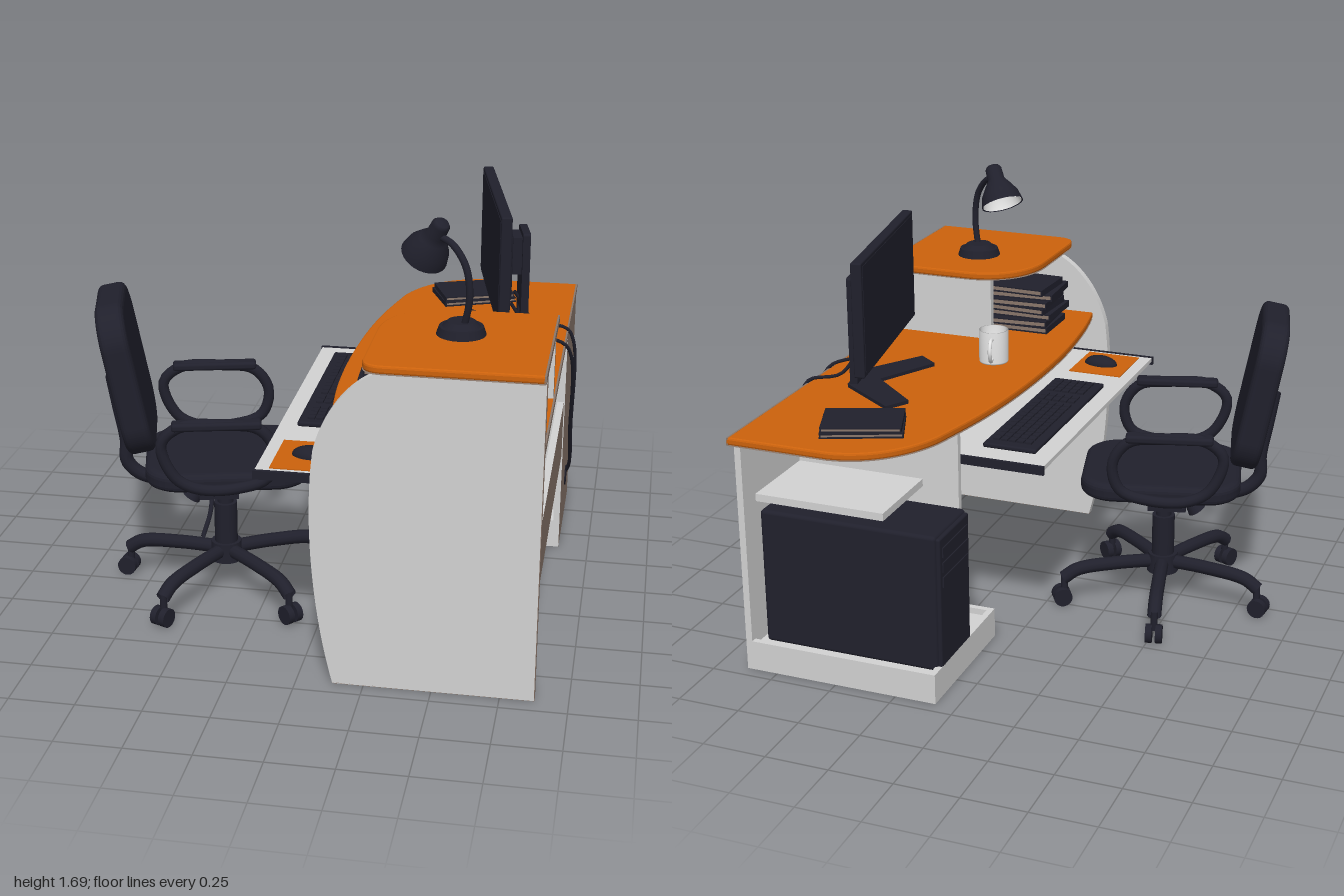
import * as THREE from 'three';
import { RoundedBoxGeometry } from 'three/addons/geometries/RoundedBoxGeometry.js';

const mat = (name, color, double) => {
  const m = new THREE.MeshStandardMaterial({ color });
  m.name = name;
  if (double) m.side = THREE.DoubleSide;
  return m;
};

export function createModel() {
  const root = new THREE.Group();
  root.name = 'computerDesk';
  const orange = mat('orangeLaminate', 0xcc620c);
  const brown = mat('brownBoard', 0x8a776b, true);
  const grey = mat('lightGreyBoard', 0xd2d2d2);
  const dark = mat('darkPlastic', 0x20202c, true);
  const white = mat('whiteCeramic', 0xe6e6e6, true);
  // boards: brown backs and undersides, grey elsewhere
  const board = [brown, grey, grey, brown, grey, grey];
  const V = (x, y, z) => new THREE.Vector3(x, y, z);

  const add = (parent, name, geo, m, x = 0, y = 0, z = 0) => {
    const mesh = new THREE.Mesh(geo, m);
    mesh.name = name;
    mesh.position.set(x, y, z);
    parent.add(mesh);
    return mesh;
  };
  const group = (parent, name, x = 0, y = 0, z = 0, ry = 0) => {
    const g = new THREE.Group();
    g.name = name;
    g.position.set(x, y, z);
    g.rotation.y = ry;
    parent.add(g);
    return g;
  };
  const box = (parent, name, x0, x1, y0, y1, z0, z1, m, r = 0) => add(parent, name,
    r ? new RoundedBoxGeometry(x1 - x0, y1 - y0, z1 - z0, 3, r) : new THREE.BoxGeometry(x1 - x0, y1 - y0, z1 - z0),
    m, (x0 + x1) / 2, (y0 + y1) / 2, (z0 + z1) / 2);
  const tube = (parent, name, pts, r, m = dark, closed = false) => add(parent, name,
    new THREE.TubeGeometry(new THREE.CatmullRomCurve3(pts.map(p => V(...p)), closed), 48, r, 10, closed), m);
  const cyl = (parent, name, r0, r1, h, x, y, z, m = dark) =>
    add(parent, name, new THREE.CylinderGeometry(r0, r1, h, 28), m, x, y, z);
  const rounded = (w, h, r) => {
    const s = new THREE.Shape(), a = w / 2, b = h / 2;
    s.absarc(a - r, b - r, r, 0, Math.PI / 2);
    s.absarc(-a + r, b - r, r, Math.PI / 2, Math.PI);
    s.absarc(-a + r, -b + r, r, Math.PI, Math.PI * 1.5);
    s.absarc(a - r, -b + r, r, Math.PI * 1.5, Math.PI * 2);
    return s;
  };

  // horizontal slab: orange top and rim, brown underside and back edge
  const slab = (name, shape, y, t, z0, z1) => {
    const g = group(root, name), b = 0.008;
    const geo = new THREE.ExtrudeGeometry(shape, { depth: t - 2 * b, bevelThickness: b, bevelSize: b, bevelOffset: -b, bevelSegments: 2, curveSegments: 20 });
    add(g, name + 'Board', geo.rotateX(-Math.PI / 2), orange, 0, y + b, 0);
    add(g, name + 'Underside', new THREE.ShapeGeometry(shape, 20).rotateX(-Math.PI / 2), brown, 0, y - 0.002, 0);
    box(g, name + 'BackEdge', 0.87, 0.877, y, y + t - 0.001, z0, z1, brown);
  };
  const top = new THREE.Shape();
  top.moveTo(0.875, 1);
  top.lineTo(0.47, 1);
  top.bezierCurveTo(0.3, 0.985, 0.19, 0.85, 0.15, 0.7);
  top.splineThru([[0.1, 0.45], [0.07, 0.2], [0.055, -0.1], [0.06, -0.4], [0.09, -0.7], [0.125, -0.9]].map(p => new THREE.Vector2(...p)));
  top.lineTo(0.875, -0.9);
  slab('desktop', top, 0.945, 0.03, -1, 0.9);
  const upper = new THREE.Shape();
  upper.moveTo(0.875, -0.34);
  upper.lineTo(0.5, -0.34);
  upper.bezierCurveTo(0.34, -0.34, 0.24, -0.45, 0.24, -0.62);
  upper.lineTo(0.24, -0.92);
  upper.quadraticCurveTo(0.24, -1, 0.32, -1);
  upper.lineTo(0.875, -1);
  slab('upperShelf', upper, 1.245, 0.03, 0.34, 1);

  // curved side panel
  const side = new THREE.Shape();
  side.moveTo(0.875, 0);
  side.lineTo(0.875, 1.245);
  side.lineTo(0.37, 1.245);
  side.bezierCurveTo(0.22, 1.23, 0.1, 1.08, 0.065, 0.92);
  side.bezierCurveTo(0.03, 0.65, 0.06, 0.28, 0.135, 0);
  add(root, 'sidePanel', new THREE.ExtrudeGeometry(side, { depth: 0.034, bevelEnabled: false, curveSegments: 24 }), grey, 0, 0, 0.9);
  box(root, 'sidePanelBackEdge', 0.872, 0.877, 0, 1.245, 0.9, 0.934, brown);
  box(root, 'sidePanelBottomEdge', 0.135, 0.875, -0.001, 0.003, 0.9, 0.934, brown);

  // cabinet, partition and cross panel
  box(root, 'shelfPartition', 0.4, 0.87, 0.975, 1.245, 0.39, 0.42, board);
  box(root, 'crossPanel', 0.845, 0.872, 0.42, 0.66, -0.37, 0.9, board);
  box(root, 'cabinetBack', 0.85, 0.876, 0, 0.945, -0.95, -0.365, board);
  box(root, 'cabinetInnerPanel', 0.17, 0.85, 0.12, 0.945, -0.505, -0.48, board);
  box(root, 'cabinetShelf', 0.32, 0.85, 0.67, 0.7, -0.86, -0.505, grey);
  const base = group(root, 'cabinetBase');
  box(base, 'baseFront', 0.085, 0.11, 0, 0.12, -0.95, -0.365, board);
  for (const z of [-0.95, -0.39]) box(base, 'baseSide', 0.11, 0.85, 0, 0.12, z, z + 0.025, board);
  box(base, 'baseFloor', 0.11, 0.85, 0.075, 0.095, -0.925, -0.39, grey);

  // computer tower
  const pc = group(root, 'computerTower');
  box(pc, 'towerCase', 0.1, 0.82, 0.1, 0.65, -0.89, -0.6, dark, 0.015);
  box(pc, 'towerFront', 0.085, 0.105, 0.11, 0.64, -0.88, -0.61, dark, 0.008);
  for (let i = 0; i < 3; i++) box(pc, 'driveBay', 0.08, 0.09, 0.56 - i * 0.06, 0.6 - i * 0.06, -0.86, -0.63, dark);

  // keyboard tray with runners
  box(root, 'keyboardTray', -0.16, 0.55, 0.785, 0.803, -0.46, 0.875, board);
  for (const z of [-0.475, 0.872]) box(root, 'trayRunner', -0.165, 0.6, 0.772, 0.806, z, z + 0.014, dark);
  box(root, 'mouseMat', -0.11, 0.12, 0.803, 0.807, 0.585, 0.85, orange);
  const mouse = add(root, 'mouse', new THREE.SphereGeometry(1, 24, 14, 0, Math.PI * 2, 0, Math.PI / 2), dark, 0.02, 0.807, 0.715);
  mouse.scale.set(0.075, 0.036, 0.045);
  mouse.rotation.y = -0.15;
  const kb = group(root, 'keyboard', 0.02, 0.803, 0.04);
  box(kb, 'keyboardBody', -0.11, 0.11, 0, 0.02, -0.4, 0.4, dark, 0.008);
  const blocks = [[-0.36, 0.1, 12], [0.12, 0.2, 2], [0.23, 0.37, 4]];
  for (const [z0, z1, n] of blocks) {
    const p = (z1 - z0) / n;
    for (let r = 0; r < 5; r++) for (let c = 0; c < n; c++)
      box(kb, 'key', -0.075 + r * 0.033, -0.048 + r * 0.033, 0.018, 0.028, z0 + c * p + 0.003, z0 + (c + 1) * p - 0.003, dark);
  }

  // monitor on a forked stand
  const mon = group(root, 'monitor', 0.58, 0, -0.25, 0.19);
  box(mon, 'screenCase', -0.02, 0.022, 1.13, 1.575, -0.395, 0.395, dark, 0.006);
  box(mon, 'screenFace', -0.022, -0.018, 1.15, 1.56, -0.38, 0.38, dark);
  box(mon, 'rearHousing', 0.02, 0.05, 1.18, 1.45, -0.19, 0.19, dark, 0.012);
  box(mon, 'mountPlate', 0.045, 0.11, 1.25, 1.4, -0.06, 0.06, dark);
  const neck = rounded(0.16, 0.44, 0.01);
  neck.holes.push(new THREE.Path([[-0.04, -0.17], [0.04, -0.17], [0.04, -0.1], [-0.04, -0.1]].map(p => new THREE.Vector2(...p))));
  const neckMesh = add(mon, 'standNeck', new THREE.ExtrudeGeometry(neck, { depth: 0.03, bevelEnabled: false }), dark, 0.1, 1.2, 0);
  neckMesh.rotation.y = Math.PI / 2;
  const foot = new THREE.Shape([[0.14, -0.08], [-0.07, -0.3], [-0.14, -0.22], [0.03, 0], [-0.14, 0.22], [-0.07, 0.3], [0.14, 0.08]].map(p => new THREE.Vector2(...p)));
  add(mon, 'standFoot', new THREE.ExtrudeGeometry(foot, { depth: 0.014, bevelEnabled: false }).rotateX(-Math.PI / 2), dark, 0, 0.975, 0);

  // cables down to the grommet
  tube(root, 'cableA', [[0.66, 1.16, -0.11], [0.74, 1.04, -0.14], [0.87, 0.985, -0.17], [0.9, 0.92, -0.21], [0.897, 0.5, -0.46], [0.89, 0.26, -0.63], [0.865, 0.21, -0.665]], 0.007);
  tube(root, 'cableB', [[0.66, 1.16, -0.27], [0.74, 1.02, -0.33], [0.87, 0.985, -0.36], [0.9, 0.92, -0.38], [0.897, 0.5, -0.54], [0.89, 0.26, -0.65], [0.865, 0.2, -0.67]], 0.007);
  cyl(root, 'grommet', 0.042, 0.042, 0.008, 0.877, 0.205, -0.665).rotation.z = Math.PI / 2;

  // mug
  const mug = group(root, 'mug', 0.285, 0.975, 0.14, 0.25);
  add(mug, 'mugBody', new THREE.LatheGeometry([[0, 0], [0.058, 0], [0.06, 0.006], [0.06, 0.135], [0.054, 0.135], [0.054, 0.01], [0, 0.01]].map(p => new THREE.Vector2(...p)), 32), white);
  tube(mug, 'mugHandle', [[0, 0.11, -0.055], [0, 0.11, -0.1], [0, 0.07, -0.118], [0, 0.03, -0.095], [0, 0.025, -0.055]], 0.008, white);

  // books: dark covers around brown pages
  const book = (x, y, z, w, h, d, ry) => {
    const g = group(root, 'book', x, y, z, ry);
    box(g, 'pages', -w / 2 + 0.006, w / 2 - 0.006, 0.004, h - 0.004, -d / 2 + 0.006, d / 2 - 0.006, brown);
    for (const yy of [0, h - 0.005]) box(g, 'cover', -w / 2, w / 2, yy, yy + 0.005, -d / 2, d / 2, dark);
    box(g, 'spine', -w / 2, -w / 2 + 0.005, 0, h, -d / 2, d / 2, dark);
  };
  book(0.45, 0.975, -0.735, 0.31, 0.02, 0.215, 0.39);
  book(0.45, 0.995, -0.735, 0.3, 0.02, 0.21, 0.36);
  for (let i = 0; i < 7; i++)
    book(0.35 + 0.012 * Math.sin(i * 2.3), 0.975 + i * 0.028, 0.65 + 0.015 * Math.sin(i * 4.1), 0.29, 0.027, 0.23, 0.06 * Math.sin(i * 1.7));

  // desk lamp
  const lamp = group(root, 'lamp');
  cyl(lamp, 'lampBase', 0.08, 0.09, 0.03, 0.545, 1.29, 0.615);
  cyl(lamp, 'lampBaseCap', 0.05, 0.07, 0.02, 0.545, 1.314, 0.615);
  tube(lamp, 'lampArm', [[0.555, 1.3, 0.63], [0.575, 1.42, 0.65], [0.56, 1.53, 0.645], [0.51, 1.6, 0.615], [0.46, 1.62, 0.58]], 0.013);
  const head = group(lamp, 'lampHead', 0.395, 1.53, 0.52);
  head.quaternion.setFromUnitVectors(V(0, 1, 0), V(0.075, 0.15, 0.07).normalize());
  const shade = k => new THREE.LatheGeometry([[0.088, 0], [0.078, 0.045], [0.05, 0.09], [0.036, 0.11], [0.034, 0.16], [0.025, 0.172], [0, 0.175]].map(([r, y]) => new THREE.Vector2(r * k, y * k)), 28);
  add(head, 'lampShade', shade(1), dark);
  add(head, 'lampShadeLining', shade(0.94), white, 0, 0.002, 0);

  // office chair
  const chair = group(root, 'chair', -0.43, 0, 0.22, 0.25);
  const cushion = (name, w, h, r, t) => add(chair, name, new THREE.ExtrudeGeometry(rounded(w, h, r),
    { depth: t - 0.05, bevelThickness: 0.025, bevelSize: 0.03, bevelOffset: -0.03, bevelSegments: 4, curveSegments: 12 }), dark);
  const seat = cushion('seat', 0.64, 0.53, 0.14, 0.075);
  seat.rotation.x = -Math.PI / 2;
  seat.position.set(0.01, 0.545, 0);
  const back = cushion('backrest', 0.53, 0.61, 0.15, 0.11);
  back.rotation.set(0, Math.PI / 2, 0);
  back.rotation.order = 'ZYX';
  back.rotation.z = 0.19;
  back.position.set(-0.4, 0.945, 0);
  for (const s of [-1, 1]) {
    const z = s * 0.33;
    const loop = [[-0.24, 0.76], [-0.17, 0.825], [0, 0.83], [0.13, 0.81], [0.19, 0.72], [0.16, 0.61], [0.05, 0.57], [-0.1, 0.57], [-0.19, 0.62]];
    tube(chair, 'armrest', loop.map(([x, y]) => [x, y, z]), 0.022, dark, true);
    box(chair, 'armPad', -0.2, 0.14, 0.815, 0.847, z - 0.03, z + 0.03, dark, 0.012);
    box(chair, 'armBracket', -0.1, 0.05, 0.525, 0.55, Math.min(0, z), Math.max(0, z), dark);
  }
  tube(chair, 'backBracket', [[0, 0.48, 0], [-0.22, 0.475, 0], [-0.33, 0.5, 0], [-0.385, 0.56, 0], [-0.385, 0.65, 0], [-0.41, 0.8, 0], [-0.43, 0.92, 0]], 0.027);
  box(chair, 'seatMechanism', -0.1, 0.1, 0.46, 0.53, -0.08, 0.08, dark, 0.01);
  tube(chair, 'lever', [[-0.05, 0.46, 0.05], [-0.06, 0.41, 0.18], [-0.09, 0.375, 0.33]], 0.009);
  cyl(chair, 'tensionKnob', 0.025, 0.04, 0.06, -0.12, 0.42, 0).rotation.z = -0.6;
  cyl(chair, 'columnUpper', 0.032, 0.032, 0.16, 0, 0.43, 0);
  cyl(chair, 'columnLower', 0.046, 0.046, 0.23, 0, 0.255, 0);
  cyl(chair, 'baseHub', 0.06, 0.065, 0.08, 0, 0.16, 0);
  for (let i = 0; i < 5; i++) {
    // spokes run along local +x, each ending in a twin-wheel caster
    const leg = group(chair, 'baseSpoke', 0, 0, 0, -(185 + 72 * i) * Math.PI / 180 - 0.25);
    tube(leg, 'spoke', [[0.03, 0.165, 0], [0.2, 0.165, 0], [0.36, 0.15, 0], [0.42, 0.115, 0]], 0.028);
    cyl(leg, 'casterStem', 0.014, 0.014, 0.08, 0.415, 0.09, 0);
    for (const z of [-0.02, 0.02]) cyl(leg, 'casterWheel', 0.038, 0.038, 0.026, 0.425, 0.038, z).rotation.x = Math.PI / 2;
  }
  return root;
}
